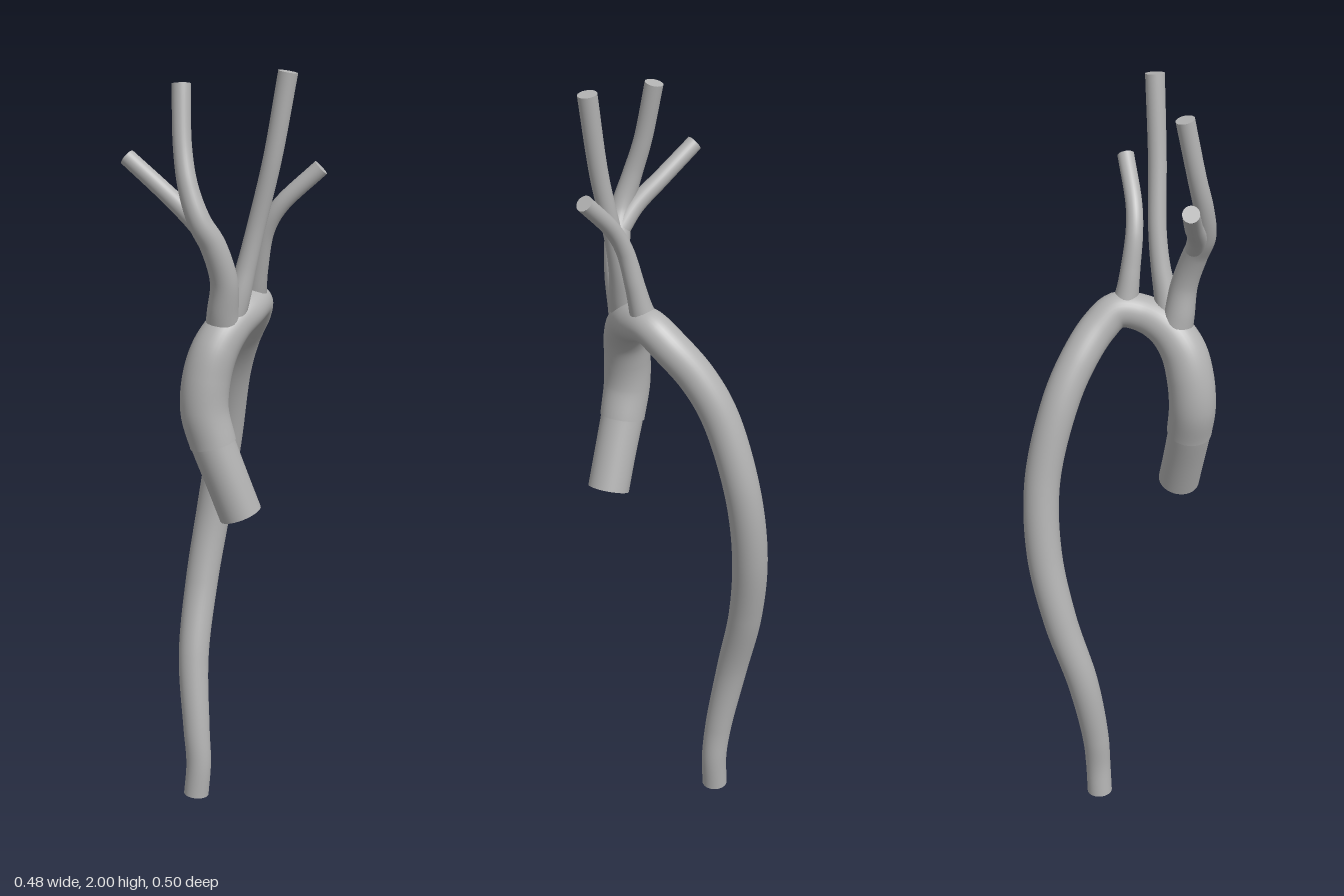
import * as THREE from 'three';

const tissue = new THREE.MeshStandardMaterial({ color: 0xb2b2b2 });
tissue.name = 'plain grey';

// Capped tube through stations [x, y, z, radius], radius varying smoothly along it
function vessel(name, stations, segments = 60, sides = 28) {
  const curve = new THREE.CatmullRomCurve3(stations.map(s => new THREE.Vector3(s[0], s[1], s[2])));
  const radii = new THREE.CatmullRomCurve3(stations.map((s, i) => new THREE.Vector3(s[3], i, 0)));
  const group = new THREE.Group();
  group.name = name;

  // Unit tube whose rings are scaled about the centreline
  const tube = new THREE.TubeGeometry(curve, segments, 1, sides, false);
  const pos = tube.attributes.position;
  const v = new THREE.Vector3();
  for (let i = 0; i <= segments; i++) {
    const u = i / segments;
    const centre = curve.getPointAt(u);
    const r = radii.getPoint(curve.getUtoTmapping(u)).x;
    for (let j = 0; j <= sides; j++) {
      const k = i * (sides + 1) + j;
      v.fromBufferAttribute(pos, k).sub(centre).multiplyScalar(r).add(centre);
      pos.setXYZ(k, v.x, v.y, v.z);
    }
  }
  const wall = new THREE.Mesh(tube, tissue);
  wall.name = name + 'Wall';
  group.add(wall);

  // Flat cut ends
  for (const end of [0, 1]) {
    const r = stations[end ? stations.length - 1 : 0][3];
    const cap = new THREE.Mesh(new THREE.CircleGeometry(r, sides), tissue);
    const outward = curve.getTangentAt(end).multiplyScalar(end ? 1 : -1);
    cap.position.copy(curve.getPointAt(end));
    cap.quaternion.setFromUnitVectors(new THREE.Vector3(0, 0, 1), outward);
    cap.name = name + 'End';
    group.add(cap);
  }
  return group;
}

export function createModel() {
  const model = new THREE.Group();
  model.name = 'aorta';

  // Straight root stub below the ascending part
  model.add(vessel('root', [
    [0.018, 0.912, 0.194, 0.054], [-0.014, 1.0, 0.186, 0.054], [-0.05, 1.1, 0.176, 0.055],
    [-0.057, 1.125, 0.174, 0.053],
  ], 16, 36));

  // Ascending part, arch and long descending part
  model.add(vessel('mainVessel', [
    [-0.048, 1.095, 0.176, 0.058], [-0.068, 1.18, 0.169, 0.06], [-0.062, 1.26, 0.165, 0.06],
    [-0.038, 1.33, 0.158, 0.058], [0.005, 1.382, 0.138, 0.053], [0.06, 1.41, 0.1, 0.047],
    [0.096, 1.417, 0.05, 0.046], [0.106, 1.38, 0.0, 0.047], [0.1, 1.3, -0.073, 0.047],
    [0.094, 1.2, -0.13, 0.047], [0.089, 1.0, -0.189, 0.046], [0.063, 0.8, -0.205, 0.046],
    [0.023, 0.6, -0.185, 0.044], [-0.013, 0.4, -0.14, 0.041], [-0.016, 0.2, -0.102, 0.036],
    [-0.013, 0.1, -0.092, 0.034], [-0.02, 0.008, -0.092, 0.034],
  ], 200, 36));

  // Common trunk curving outward into its upright branch
  model.add(vessel('rightTrunk', [
    [-0.014, 1.36, 0.146, 0.046], [-0.018, 1.42, 0.158, 0.04], [-0.02, 1.5, 0.172, 0.034],
    [-0.05, 1.59, 0.182, 0.032], [-0.084, 1.65, 0.182, 0.029], [-0.106, 1.73, 0.162, 0.025],
    [-0.112, 1.82, 0.135, 0.023], [-0.106, 1.968, 0.102, 0.023],
  ], 90));

  // Side branch of the common trunk
  model.add(vessel('rightSideBranch', [
    [-0.055, 1.605, 0.178, 0.026], [-0.095, 1.655, 0.152, 0.024],
    [-0.15, 1.715, 0.1, 0.022], [-0.224, 1.79, 0.036, 0.021],
  ], 40));

  // Tallest branch, rising from the foot of the trunk
  model.add(vessel('tallBranch', [
    [0.0, 1.38, 0.146, 0.036], [0.025, 1.46, 0.148, 0.03], [0.045, 1.53, 0.146, 0.025],
    [0.066, 1.62, 0.15, 0.023], [0.1, 1.79, 0.172, 0.023], [0.133, 1.997, 0.186, 0.024],
  ], 70));

  // Outer left branch, springing from the top of the arch
  model.add(vessel('leftSideBranch', [
    [0.085, 1.41, 0.062, 0.042], [0.089, 1.46, 0.075, 0.03], [0.094, 1.52, 0.088, 0.025],
    [0.106, 1.61, 0.108, 0.022], [0.135, 1.67, 0.127, 0.021], [0.226, 1.765, 0.165, 0.021],
  ], 60));

  return model;
}
